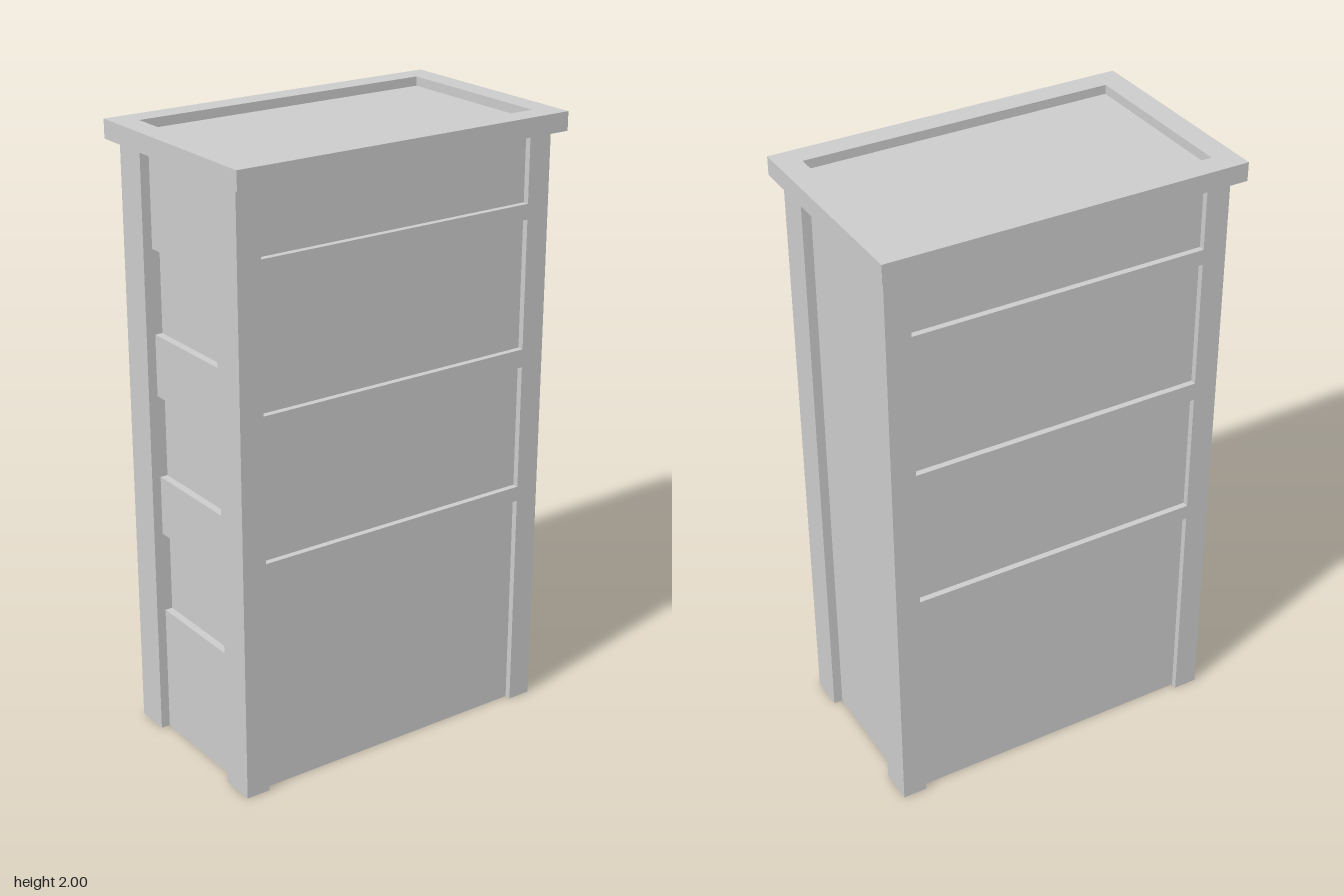
import * as THREE from 'three';

export function createModel() {
  const model = new THREE.Group();
  const material = new THREE.MeshStandardMaterial({ color: 0xcccccc, flatShading: true });

  // Box given by its lower and upper limits on each axis
  const block = (name, [x0, x1], [y0, y1], [z0, z1]) => {
    const mesh = new THREE.Mesh(new THREE.BoxGeometry(x1 - x0, y1 - y0, z1 - z0), material);
    mesh.position.set((x0 + x1) / 2, (y0 + y1) / 2, (z0 + z1) / 2);
    mesh.name = name;
    model.add(mesh);
  };

  const bodyTop = 1.94;
  const postX = [0.2, 0.315], postZ = [0.485, 0.565];
  const coreX = 0.295, windowZ = 0.51, panelZ = 0.535;

  // Inner body: side panels, back panel and the floors of the front recesses
  block('body', [-coreX, coreX], [0, bodyTop], [-panelZ, windowZ]);

  // Corner posts
  for (const sx of [-1, 1]) for (const sz of [-1, 1]) {
    const x = postX.map(v => v * sx).sort((a, b) => a - b);
    const z = postZ.map(v => v * sz).sort((a, b) => a - b);
    block('cornerPost', x, [0, bodyTop], z);
  }

  // Horizontal rails on both sides, flush with the posts
  for (const [y0, y1] of [[0.73, 0.78], [1.19, 1.25], [1.67, 1.72]]) {
    block('leftRail', [coreX, postX[1]], [y0, y1], [-postZ[0], postZ[0]]);
    block('rightRail', [-postX[1], -coreX], [y0, y1], [-postZ[0], postZ[0]]);
  }

  // Front bands that leave three recessed panels between them
  for (const y of [[0, 0.425], [0.695, 0.89], [1.16, 1.36], [1.63, bodyTop]])
    block('frontBand', [-postX[0], postX[0]], y, [windowZ, panelZ]);

  // Overhanging cap rim around a sunken top
  const rect = (path, x, z) => path.moveTo(-x, -z).lineTo(x, -z).lineTo(x, z).lineTo(-x, z).closePath();
  const holeX = 0.285, holeZ = 0.514;
  const outline = rect(new THREE.Shape(), 0.362, 0.59);
  outline.holes.push(rect(new THREE.Path(), holeX, holeZ));
  const rimGeometry = new THREE.ExtrudeGeometry(outline, { depth: 2 - bodyTop, bevelEnabled: false });
  rimGeometry.rotateX(-Math.PI / 2);
  const rim = new THREE.Mesh(rimGeometry, material);
  rim.position.y = bodyTop;
  rim.name = 'capRim';
  model.add(rim);
  block('capPanel', [-holeX, holeX], [bodyTop, 1.97], [-holeZ, holeZ]);

  return model;
}
